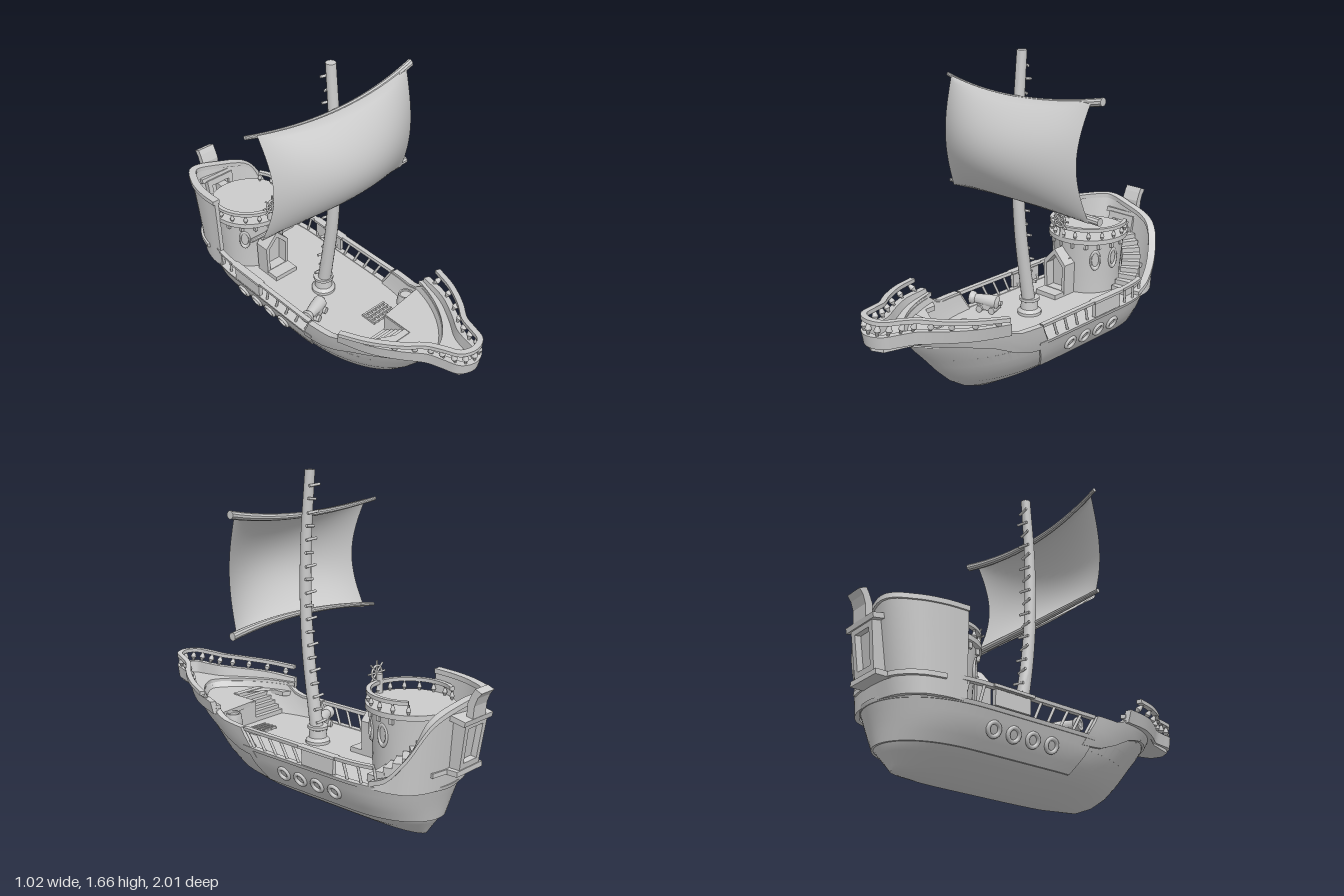
import * as THREE from 'three';
import { toCreasedNormals } from 'three/addons/utils/BufferGeometryUtils.js';
import { ParametricGeometry } from 'three/addons/geometries/ParametricGeometry.js';

const V = (x, y, z) => new THREE.Vector3(x, y, z);
const solid = new THREE.MeshStandardMaterial({ color: 0xcccccc });
const thin = new THREE.MeshStandardMaterial({ color: 0xcccccc, side: THREE.DoubleSide });
const PI = Math.PI;

// piecewise linear lookup in rows [key, value...]
function lin(rows, k, col = 1) {
  if (k <= rows[0][0]) return rows[0][col];
  for (let i = 1; i < rows.length; i++) {
    const [a, b] = [rows[i - 1], rows[i]];
    if (k <= b[0]) return a[col] + (b[col] - a[col]) * (k - a[0]) / (b[0] - a[0]);
  }
  return rows[rows.length - 1][col];
}

// waterlines: height, half width, stern z, bow z
const LINES = [[0, 0.012, -0.6, 0.12], [0.02, 0.06, -0.73, 0.33], [0.06, 0.125, -0.755, 0.43], [0.12, 0.2, -0.795, 0.52],
  [0.2, 0.25, -0.815, 0.6], [0.3, 0.285, -0.848, 0.685], [0.37, 0.298, -0.85, 0.75], [0.45, 0.31, -0.85, 0.8]];

// point on the hull side; u runs from stern to bow
function hullP(u, y, side = 1) {
  const s = Math.min(u / 0.28, 1), b = Math.max(0, (u - 0.6) / 0.4);
  const w = Math.sqrt(1 - (1 - s) ** 2.5) * Math.max(0, 1 - b ** 2.4) ** 0.7;
  const zs = lin(LINES, y, 2), zb = lin(LINES, y, 3);
  return V(side * w * lin(LINES, y), y, zs + (zb - zs) * u);
}

// skin over closed rings, with end caps
function loft(rings, crease = 0.6) {
  const m = rings[0].length, pos = [], idx = [];
  rings.forEach(r => r.forEach(p => pos.push(p.x, p.y, p.z)));
  for (let i = 0; i < rings.length - 1; i++) for (let j = 0; j < m; j++) {
    const a = i * m + j, b = i * m + (j + 1) % m;
    idx.push(a, a + m, b, b, a + m, b + m);
  }
  [0, rings.length - 1].forEach((i, end) => {
    const c = rings[i].reduce((s, p) => s.add(p), V(0, 0, 0)).divideScalar(m);
    pos.push(c.x, c.y, c.z);
    for (let j = 0; j < m; j++) {
      const a = i * m + j, b = i * m + (j + 1) % m, k = pos.length / 3 - 1;
      end ? idx.push(a, k, b) : idx.push(a, b, k);
    }
  });
  const g = new THREE.BufferGeometry();
  g.setAttribute('position', new THREE.Float32BufferAttribute(pos, 3));
  g.setIndex(idx);
  return toCreasedNormals(g, crease);
}

// planking that follows the hull; at(t) gives [side, u] for t in -1..1
function band(at, yb, yt, off, th, n = 48) {
  const rings = [];
  for (let i = 0; i <= n; i++) {
    const t = -1 + 2 * i / n, [s, u] = at(t), z = hullP(u, 0.42).z;
    const y0 = yb(z), y1 = yt(z), out = [], inn = [];
    for (let k = 0; k <= 4; k++) {
      const y = y0 + (y1 - y0) * k / 4, p = hullP(u, y, s);
      const q = e => { const [a, b] = at(Math.max(-1, Math.min(1, t + e))); return hullP(b, y, a); };
      const d = q(0.01).sub(q(-0.01)), nrm = V(d.z, 0, -d.x).normalize();
      if (nrm.x * p.x + nrm.z * (p.z + 0.05) * 0.3 < 0) nrm.negate();
      out.push(p.clone().addScaledVector(nrm, off));
      inn.unshift(p.clone().addScaledVector(nrm, off - th));
    }
    rings.push([...out, ...inn]);
  }
  return loft(rings);
}

// wall of even thickness between a lower and an upper curve
function wall(bot, top, th, n = 48) {
  const cb = new THREE.CatmullRomCurve3(bot), ct = new THREE.CatmullRomCurve3(top), rings = [];
  for (let i = 0; i <= n; i++) {
    const t = i / n, b = cb.getPoint(t), c = ct.getPoint(t), d = ct.getTangent(t);
    const o = V(d.z, 0, -d.x).normalize().multiplyScalar(th / 2);
    rings.push([b.clone().add(o), c.clone().add(o), c.clone().sub(o), b.clone().sub(o)]);
  }
  return loft(rings);
}
const mirrorPath = half => [...half.slice(1).reverse().map(p => V(-p.x, p.y, p.z)), ...half];
const lift = (pts, d) => pts.map(p => V(p.x, p.y + d, p.z));

// flat slab from plan points [x, z]
function slab(pts, y, h) {
  const s = new THREE.Shape(pts.map(([x, z]) => new THREE.Vector2(x, -z)));
  return new THREE.ExtrudeGeometry(s, { depth: h, bevelEnabled: false }).rotateX(-PI / 2).translate(0, y, 0);
}
const lathe = (pts, n = 24) => toCreasedNormals(new THREE.LatheGeometry(pts.map(p => new THREE.Vector2(...p)), n), 0.6);

export function createModel() {
  const ship = new THREE.Group();
  ship.name = 'sailingShip';
  const add = (name, geo, x = 0, y = 0, z = 0, mat = solid) => {
    const m = new THREE.Mesh(geo, mat);
    m.name = name; m.position.set(x, y, z); ship.add(m);
    return m;
  };
  const skin = (name, geo) => add(name, geo, 0, 0, 0, thin);
  const box = (name, w, h, d, x, y, z) => add(name, new THREE.BoxGeometry(w, h, d), x, y, z);
  const span = (m, a, b) => {
    m.position.copy(a).lerp(b, 0.5);
    m.quaternion.setFromUnitVectors(V(0, 1, 0), b.clone().sub(a).normalize());
  };
  const rod = (name, a, b, r) => span(add(name, new THREE.CylinderGeometry(r, r, a.distanceTo(b), 10)), a, b);
  const baluster = (a, b, r) => {
    const g = lathe([[0.4, -0.5], [0.45, -0.35], [1, -0.1], [0.8, 0.1], [0.4, 0.35], [0.6, 0.5]], 8);
    span(skin('baluster', g.scale(r, a.distanceTo(b), r)), a, b);
  };

  // hull with main deck
  const N = 40, levels = [0, 0.01, 0.02, 0.04, 0.06, 0.09, 0.12, 0.16, 0.2, 0.25, 0.3];
  skin('hull', loft(levels.map(y => Array.from({ length: 2 * N }, (_, i) => {
    const t = (i <= N ? i : 2 * N - i) / N;
    return hullP((1 - Math.cos(PI * t)) / 2, y, i <= N ? 1 : -1);
  })), 0.8));
  const aft = t => [Math.sign(t) || 1, 0.68 * t * t], fore = t => [Math.sign(t) || 1, 1 - 0.355 * t * t];
  skin('sideBelt', band(aft, () => 0.12, () => 0.29, 0.01, 0.03));
  skin('gunwale', band(aft, () => 0.285, () => 0.303, 0.014, 0.03));
  const sheer = z => lin([[0.19, 0.4], [0.34, 0.405], [0.38, 0.42], [0.41, 0.46], [0.8, 0.46]], z);
  skin('bowPlanking', band(fore, () => 0.24, z => sheer(z) - 0.01, 0, 0.025));
  skin('bowTrim', band(fore, z => lin([[0.19, 0.25], [0.33, 0.26], [0.42, 0.3], [0.5, 0.36], [0.6, 0.39], [0.8, 0.42]], z), sheer, 0.012, 0.032));

  // bow bulwark and flared rail
  const bulTop = mirrorPath([V(0, 0.53, 0.99), V(0.06, 0.53, 0.965), V(0.085, 0.525, 0.89), V(0.11, 0.52, 0.81), V(0.18, 0.51, 0.71), V(0.255, 0.5, 0.58), V(0.305, 0.485, 0.41)]);
  const bulBot = bulTop.map(p => V(p.x * 0.96, 0.42 + (p.z - 0.41) * 0.085, p.z - 0.01));
  const railTop = mirrorPath([V(0, 0.605, 0.985), V(0.065, 0.602, 0.96), V(0.1, 0.595, 0.88), V(0.13, 0.585, 0.81), V(0.205, 0.57, 0.72), V(0.285, 0.555, 0.59), V(0.34, 0.54, 0.45)]);
  skin('bowBulwark', wall(bulBot, bulTop, 0.03, 72));
  skin('bowRail', wall(lift(railTop, -0.02), railTop, 0.028, 72));
  const cA = new THREE.CatmullRomCurve3(bulTop), cB = new THREE.CatmullRomCurve3(railTop);
  for (let i = 0; i <= 16; i++) baluster(cA.getPoint(0.03 + i * 0.05875), cB.getPoint(0.03 + i * 0.05875).add(V(0, -0.015, 0)), 0.016);

  // foredeck with steps, and the beak floor ahead of it
  const edge = [];
  for (let i = -20; i <= 20; i++) { const p = hullP(1 - 0.235 * (i / 20) ** 2, 0.42, Math.sign(i) || 1); edge.push([p.x * 0.97, p.z - 0.01]); }
  add('foredeck', slab([...edge, [0, 0.42], [0, 0.59], [-0.21, 0.59], [-0.21, 0.42]], 0.395, 0.025));
  add('beakFloor', slab([...bulBot.map(p => [p.x, p.z]), ...edge.slice().reverse()], 0.445, 0.02));
  box('foredeckFront', 0.22, 0.12, 0.02, 0.11, 0.355, 0.425);
  box('stepSide', 0.012, 0.12, 0.17, 0, 0.355, 0.505);
  for (let i = 0; i < 6; i++) box('foreStep', 0.2, 0.026, 0.034, -0.105, 0.311 + 0.02 * i, 0.435 + i * 0.028);

  // side rails, panels and portholes
  for (const s of [1, -1]) {
    const u0 = 0.14, u1 = 0.64, at = t => [s, u0 + (u1 - u0) * (t + 1) / 2];
    skin('sideRail', band(at, () => 0.385, () => 0.402, 0.004, 0.026, 20));
    for (let i = 0; i <= 10; i++) {
      const u = u0 + (u1 - u0) * i / 10;
      rod('railPost', hullP(u, 0.3, s).multiply(V(0.98, 1, 1)), hullP(u, 0.39, s).multiply(V(0.97, 1, 1)), 0.007);
    }
    box('railPanel', 0.022, 0.075, 0.2, s * 0.29, 0.345, -0.31);
    box('railCap', 0.04, 0.014, 0.23, s * 0.293, 0.395, -0.31);
    for (let i = 0; i < 4; i++) {
      const ring = add('porthole', new THREE.TorusGeometry(0.031, 0.01, 8, 20), s * 0.266, 0.21, -0.06 - i * 0.11);
      ring.rotation.y = PI / 2; ring.rotateX(s * 0.35);
    }
  }

  // stern castle tower
  const cx = -0.06, cz = -0.575;
  add('tower', lathe([[0, 0.29], [0.175, 0.29], [0.178, 0.4], [0.195, 0.585], [0.215, 0.59], [0.215, 0.615], [0, 0.615]], 40), cx, 0, cz);
  const around = (a, r, y) => V(cx + Math.cos(a) * r, y, cz + Math.sin(a) * r);
  const arc = Array.from({ length: 25 }, (_, i) => around(-0.6 + i * 4.4 / 24, 0.2, 0.66));
  skin('towerRail', wall(arc, lift(arc, 0.018), 0.022));
  for (let i = 0; i < 25; i += 2) baluster(V(arc[i].x, 0.61, arc[i].z), arc[i], 0.012);
  for (const a of [0.08, 0.66, 2.4]) {
    const w = new THREE.Group(), p = around(a, 0.186, 0.495);
    w.name = 'towerWindow'; w.position.copy(p); w.rotation.y = PI / 2 - a; w.scale.set(0.65, 1.3, 1);
    w.add(new THREE.Mesh(new THREE.TorusGeometry(0.038, 0.009, 8, 20), solid));
    ship.add(w);
  }
  for (let i = 0; i < 10; i++) box('bracket', 0.015, 0.03, 0.02, 0, 0, 0).position.copy(around(-0.2 + i * 0.38, 0.197, 0.575));

  // door porch with step
  const arch = k => [[-0.07, -0.13], [0.07, -0.13], [0.075, 0.05], [0, 0.13], [-0.075, 0.05]].map(p => new THREE.Vector2(p[0] * k, p[1] * k));
  const frame = new THREE.Shape(arch(1)); frame.holes.push(new THREE.Path(arch(0.75)));
  add('doorFrame', new THREE.ExtrudeGeometry(frame, { depth: 0.08, bevelEnabled: false }), -0.08, 0.425, -0.4);
  box('door', 0.11, 0.2, 0.02, -0.08, 0.4, -0.385);
  box('doorStep', 0.14, 0.025, 0.08, -0.08, 0.312, -0.29);

  // ship's wheel
  const hub = V(-0.075, 0.71, -0.355);
  rod('wheelPost', V(-0.075, 0.61, -0.375), V(-0.075, 0.71, -0.375), 0.016);
  add('wheelRim', new THREE.TorusGeometry(0.036, 0.006, 8, 24), hub.x, hub.y, hub.z);
  for (let i = 0; i < 4; i++) {
    const d = V(Math.cos(i * PI / 4), Math.sin(i * PI / 4), 0).multiplyScalar(0.062);
    rod('wheelSpoke', hub.clone().sub(d), hub.clone().add(d), 0.005);
  }

  // winding stairs around the tower
  for (let i = 0; i < 11; i++) {
    const a = -0.02 - i * 0.15, h = 0.07, p = around(a, 0.24, 0.335 + i * 0.026 - h / 2);
    box('windingStep', 0.1, h, 0.05, p.x, p.y, p.z).rotation.y = -a;
  }

  // raised stern shell with cap rail and ledge
  const sBot = [V(0.265, 0.29, -0.6), V(0.255, 0.29, -0.69), V(0.215, 0.29, -0.775), V(0.13, 0.29, -0.825), V(-0.04, 0.29, -0.842), V(-0.16, 0.29, -0.815), V(-0.235, 0.29, -0.75), V(-0.27, 0.29, -0.65), V(-0.275, 0.29, -0.55)];
  const sTop = [V(0.26, 0.31, -0.6), V(0.25, 0.35, -0.69), V(0.22, 0.47, -0.785), V(0.15, 0.62, -0.85), V(-0.04, 0.685, -0.888), V(-0.18, 0.705, -0.905), V(-0.25, 0.71, -0.8), V(-0.28, 0.715, -0.68), V(-0.285, 0.72, -0.56)];
  skin('sternShell', wall(sBot, sTop, 0.022));
  skin('sternCap', wall(lift(sTop, -0.012), lift(sTop, 0.012), 0.04));
  const ledge = sBot.slice(3, 8).map((p, i) => p.clone().lerp(sTop[i + 3], 0.2).setY(0.365));
  skin('sternLedge', wall(ledge, lift(ledge, 0.022), 0.05));

  // stern window bay with sill, roof and crest
  const bay = new THREE.Shape([[-0.075, -0.12], [0.075, -0.12], [0.085, 0.12], [-0.085, 0.12]].map(p => new THREE.Vector2(...p)));
  bay.holes.push(new THREE.Path([[-0.05, -0.085], [0.05, -0.085], [0.056, 0.085], [-0.056, 0.085]].map(p => new THREE.Vector2(...p))));
  add('sternBay', new THREE.ExtrudeGeometry(bay, { depth: 0.1, bevelEnabled: false }), -0.05, 0.5, -0.933).rotation.x = -0.14;
  box('sternPane', 0.12, 0.2, 0.015, -0.05, 0.5, -0.895).rotation.x = -0.14;
  box('baySill', 0.2, 0.025, 0.1, -0.05, 0.375, -0.872);
  box('bayRoof', 0.22, 0.025, 0.1, -0.05, 0.628, -0.91).rotation.x = -0.2;
  const crest = [[-0.925, 0.63], [-0.93, 0.7], [-0.95, 0.745], [-0.965, 0.77], [-1, 0.755], [-0.98, 0.73], [-0.965, 0.69], [-0.96, 0.63]];
  add('sternCrest', new THREE.ExtrudeGeometry(new THREE.Shape(crest.map(p => new THREE.Vector2(-p[0], p[1]))), { depth: 0.1, bevelEnabled: false }).rotateY(PI / 2), -0.1, 0, 0);

  // curved mast with collar and climbing pegs
  const mast = new THREE.CatmullRomCurve3([V(0, 0.3, -0.045), V(0, 0.5, -0.012), V(0, 0.75, 0.025), V(0, 1, 0.043), V(0, 1.3, 0.042), V(0, 1.665, 0.015)]);
  skin('mast', loft(Array.from({ length: 31 }, (_, i) => {
    const c = mast.getPointAt(i / 30), r = 0.035 - 0.01 * i / 30;
    return Array.from({ length: 16 }, (_, j) => c.clone().add(V(Math.cos(j * PI / 8) * r, 0, Math.sin(j * PI / 8) * r)));
  })));
  add('mastCollar', lathe([[0.062, 0.295], [0.062, 0.315], [0.046, 0.33], [0.043, 0.37], [0.052, 0.375], [0.052, 0.39], [0, 0.39]]), 0, 0, -0.04);
  for (let i = 0; i < 19; i++) {
    const c = mast.getPointAt(0.08 + i * 0.048), s = i % 2 ? 1 : -1;
    rod('mastPeg', c.clone().add(V(-0.025 * s, 0, -0.026)), c.clone().add(V(0.038 * s, 0.006, -0.034)), 0.007);
  }

  // bowed yards, thicker at one end, and billowing sail
  for (const [y, bend] of [[1.442, 0.046], [0.956, -0.028]]) {
    skin('yard', loft(Array.from({ length: 21 }, (_, i) => {
      const a = -1 + i / 10, r = 0.01 + 0.005 * (a + 1), c = V(a * 0.508, y + bend * a * a, 0.07 - 0.042 * a * a);
      return Array.from({ length: 10 }, (_, j) => c.clone().add(V(0, Math.cos(j * PI / 5) * r, Math.sin(j * PI / 5) * r)));
    })));
  }
  skin('sail', new ParametricGeometry((u, v, p) => {
    const a = 2 * u - 1, b = Math.max(0, Math.sin(PI * v)), y0 = 0.945 - 0.03 * a * a, y1 = 1.455 + 0.035 * a * a;
    p.set(a * 0.46 * (1 - 0.05 * b), y0 + (y1 - y0) * v, 0.085 - 0.035 * a * a + 0.07 * b * a * a + 0.172 * b ** 0.65 * (1 - a * a));
  }, 30, 24));

  // barrel, hatch grate and cannon on deck
  add('barrel', lathe([[0, 0], [0.038, 0], [0.047, 0.055], [0.038, 0.11], [0.03, 0.11], [0.03, 0.1], [0, 0.1]]), 0.2, 0.3, 0.37);
  for (let i = 0; i < 4; i++) box('hatchBar', 0.15, 0.012, 0.01, 0.075, 0.308, 0.265 + i * 0.025);
  for (let i = 0; i < 6; i++) box('hatchBar', 0.01, 0.01, 0.09, 0.005 + i * 0.028, 0.306, 0.302);
  const cannon = new THREE.Group();
  cannon.name = 'cannon'; cannon.position.set(-0.17, 0.3, 0.09); cannon.rotation.y = 0.35;
  const gun = new THREE.Mesh(lathe([[0, -0.08], [0.014, -0.075], [0.012, -0.062], [0.036, -0.05], [0.034, 0], [0.024, 0.07], [0.034, 0.085], [0.034, 0.1], [0.018, 0.1], [0.016, 0.03], [0, 0.03]], 16), thin);
  gun.position.y = 0.055; gun.rotation.z = PI / 2 - 0.05;
  const carriage = new THREE.Mesh(new THREE.BoxGeometry(0.1, 0.03, 0.06), solid);
  carriage.position.y = 0.028;
  cannon.add(gun, carriage);
  for (const x of [-0.035, 0.035]) {
    const axle = new THREE.Mesh(new THREE.CylinderGeometry(0.018, 0.018, 0.085, 12).rotateX(PI / 2), solid);
    axle.position.set(x, 0.018, 0);
    cannon.add(axle);
  }
  ship.add(cannon);
  return ship;
}
